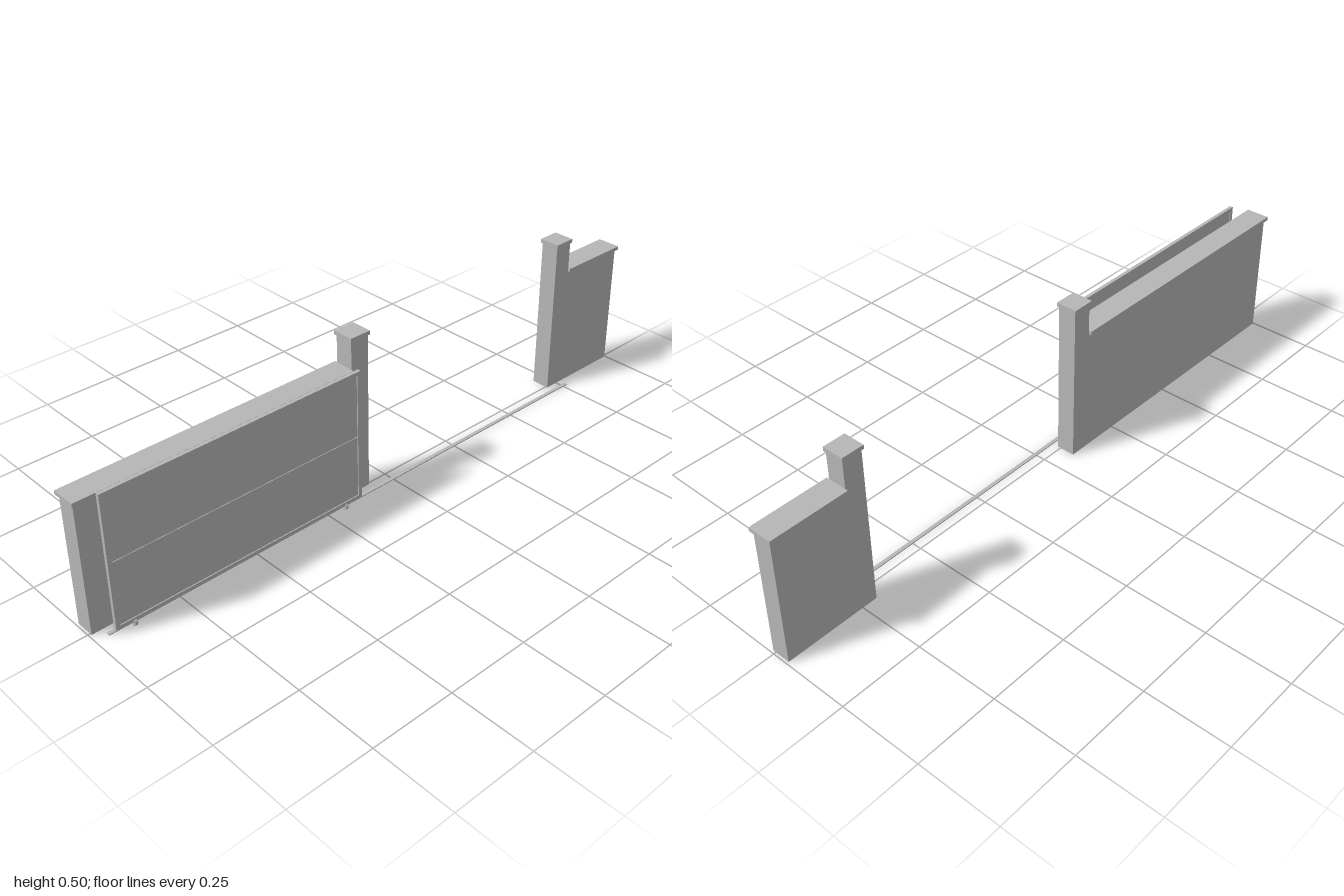
import * as THREE from 'three';

const grey = new THREE.MeshStandardMaterial({ color: 0xb6b6b6 });
grey.name = 'plainGrey';

// box given by its min and max corners
function block(name, x0, x1, y0, y1, z0, z1) {
  const geo = new THREE.BoxGeometry(x1 - x0, y1 - y0, z1 - z0);
  geo.translate((x0 + x1) / 2, (y0 + y1) / 2, (z0 + z1) / 2);
  const mesh = new THREE.Mesh(geo, grey);
  mesh.name = name;
  return mesh;
}

// wall and post in one stepped body, with coping slabs on both levels
function wallWithPost(name, outer, post, opening) {
  const group = new THREE.Group();
  group.name = name;
  const dir = Math.sign(opening - outer);
  const end = outer + dir * 0.006;
  const shape = new THREE.Shape([
    [end, 0.003], [opening, 0.003], [opening, 0.488],
    [post, 0.488], [post, 0.392], [end, 0.392],
  ].map(([x, y]) => new THREE.Vector2(x, y)));
  const geo = new THREE.ExtrudeGeometry(shape, { depth: 0.057, bevelEnabled: false });
  geo.translate(0, 0, -0.049);
  const body = new THREE.Mesh(geo, grey);
  body.name = 'wallBody';
  group.add(
    body,
    block('wallCoping', Math.min(outer, post), Math.max(outer, post), 0.392, 0.403, -0.058, 0.016),
    block('postCap', Math.min(post, opening) - 0.004, Math.max(post, opening) + 0.004, 0.488, 0.5, -0.054, 0.012),
  );
  return group;
}

function slidingGate() {
  const gate = new THREE.Group();
  gate.name = 'slidingGate';
  const x0 = -0.95, x1 = -0.138, y0 = 0.016, y1 = 0.423, z0 = 0.042, z1 = 0.053, t = 0.012;
  // frame
  gate.add(
    block('frameBottom', x0, x1, y0, y0 + t, z0, z1),
    block('frameTop', x0, x1, y1 - t, y1, z0, z1),
    block('frameOuterEnd', x0, x0 + t, y0 + t, y1 - t, z0, z1),
    block('frameLeadingEnd', x1 - t, x1, y0 + t, y1 - t, z0, z1),
  );
  // two recessed panels with a fine groove between them
  const mid = (y0 + y1) / 2;
  gate.add(
    block('lowerPanel', x0 + t, x1 - t, y0 + t, mid - 0.001, 0.044, 0.05),
    block('upperPanel', x0 + t, x1 - t, mid + 0.001, y1 - t, 0.044, 0.05),
    block('grooveBacking', x0 + t, x1 - t, mid - 0.001, mid + 0.001, 0.045, 0.048),
  );
  // wheels, with axles across the gate so they roll along x
  for (const x of [-0.895, -0.197]) {
    const geo = new THREE.CylinderGeometry(0.011, 0.011, 0.008, 24);
    geo.rotateX(Math.PI / 2);
    // the round face is seen from the end of the track
    geo.rotateY(Math.PI / 2);
    geo.translate(x, 0.012, 0.047);
    const wheel = new THREE.Mesh(geo, grey);
    wheel.name = 'roller';
    gate.add(wheel);
  }
  return gate;
}

export function createModel() {
  const model = new THREE.Group();
  model.name = 'slidingGateEntrance';
  model.add(
    wallWithPost('rightWall', -1, -0.13, -0.07),
    wallWithPost('leftWall', 1, 0.765, 0.705),
    slidingGate(),
    block('groundTrack', -0.963, 0.765, 0.002, 0.005, 0.028, 0.039),
  );
  return model;
}
